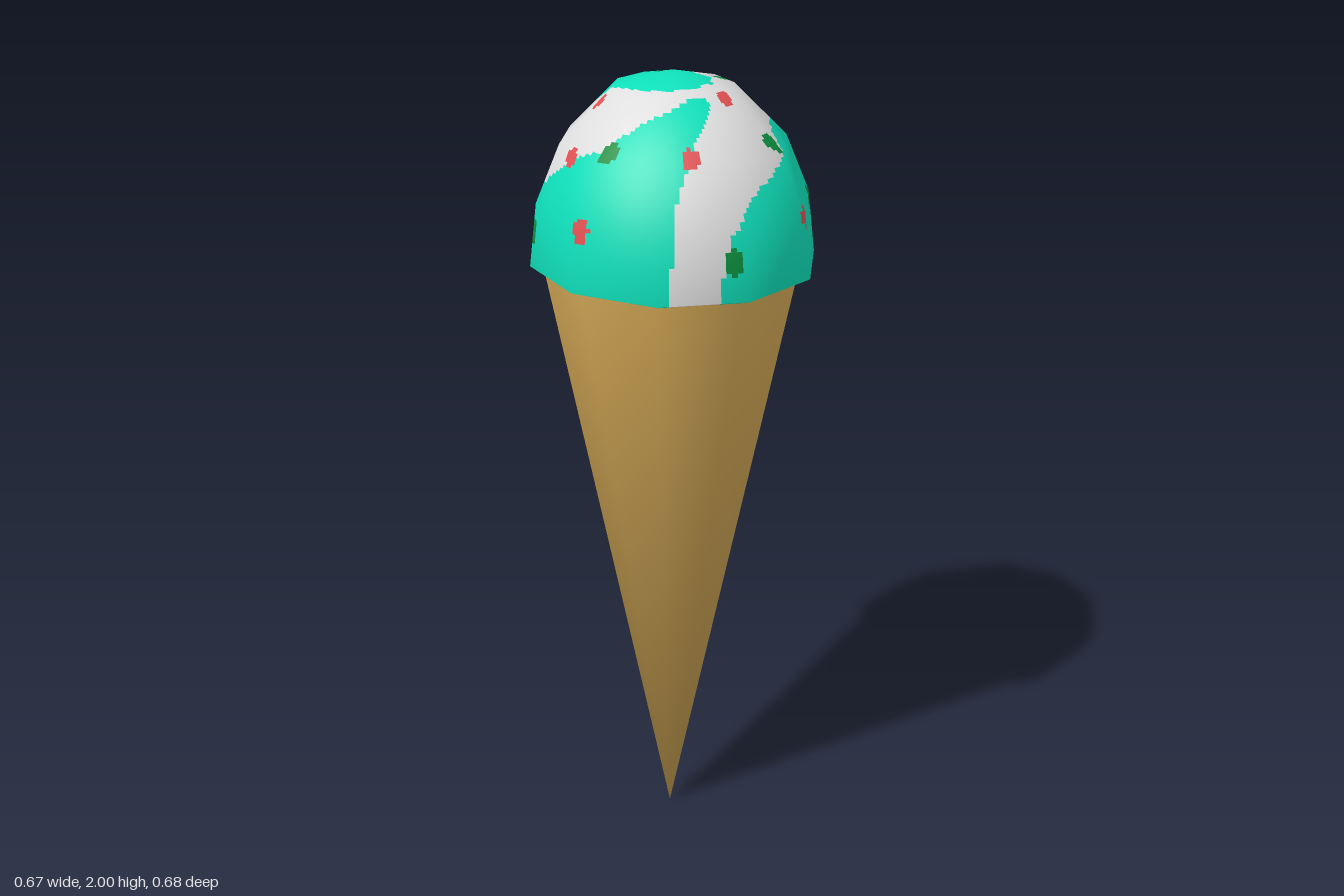
import * as THREE from 'three';
import { mergeVertices } from 'three/addons/utils/BufferGeometryUtils.js';

const SIDES = 10, FINE = 16;

const material = (name, color) => {
  const m = new THREE.MeshStandardMaterial({ color });
  m.name = name;
  return m;
};

// Unfolds the scoop: angle in degrees from the front, v = 0 at the top to 4 at the rim
const unfold = ([deg, v]) => {
  const a = THREE.MathUtils.degToRad(deg);
  return [v * Math.sin(a), v * Math.cos(a)];
};

// Outline of the white swirl as [angle, v]
const swirl = [
  [234, 1.24], [212, 1.5], [184, 1.64], [172, 1.56], [149, 1.71], [122, 1.78],
  [111, 2], [97, 2.3], [76, 2.6], [66, 3.05], [60, 4], [60, 4.3], [41, 4.3],
  [41, 4], [43, 2.6], [51, 1.85], [66, 1.32], [74, 1.14], [71, 0.97], [39, 1.18],
  [16, 1.46], [2, 1.86], [-18, 2.1], [-37, 2.7], [-48, 3.4], [-62, 4], [-62, 4.4],
  [-85, 4.4], [-108, 4.4], [-131, 4.4], [229, 4], [241, 3.5], [250, 3], [264, 2.3],
  [272, 1.8], [285, 1.6], [304, 1.17], [326, 1], [5, 0.84], [39, 0.74], [74, 0.69],
  [112, 0.68], [146, 0.6], [188, 0.39], [239, 0.81],
].map(unfold);

// Sprinkle centres as [angle, v]
const sprinkles = {
  red: [[204, 3.4], [222, 2], [161, 1.67], [238, 1.13], [274, 2.55], [95, 1.06],
    [-38, 1.26], [51, 1.87], [-20, 2.1], [2, 3.05], [110, 3.05]],
  green: [[187, 1.41], [160, 0.9], [257, 0.36], [282, 1.29], [107, 1.83], [140, 3.05],
    [244, 3.2], [6.5, 1.85], [66, 3.4], [-37, 3.45], [-59.5, 3.65]],
};

function insideSwirl([x, y]) {
  let inside = false;
  swirl.forEach(([x1, y1], i) => {
    const [x2, y2] = swirl[(i + 1) % swirl.length];
    if ((y1 > y) !== (y2 > y) && x < x1 + ((y - y1) * (x2 - x1)) / (y2 - y1)) inside = !inside;
  });
  return inside;
}

function flavourAt(deg, v) {
  const p = unfold([deg, Math.min(v, 3.99)]);
  for (const name of ['red', 'green']) {
    for (const s of sprinkles[name]) {
      const [x, y] = unfold(s);
      if (Math.hypot(p[0] - x, p[1] - y) < 0.1 + 0.032 * s[1]) return name;
    }
  }
  return insideSwirl(p) ? 'white' : 'teal';
}

// Ten-sided dome, finely divided so that each cell takes its own flavour
function buildScoop(materials) {
  const profile = [[0.31, 1.535], [0.34, 1.547], [0.322, 1.7], [0.265, 1.838], [0.14, 1.965], [0, 2]]
    .map(([r, y]) => new THREE.Vector2(r, y));
  const rows = profile.length - 1;
  const dome = new THREE.LatheGeometry(profile, SIDES);
  const { position, normal } = dome.attributes;
  for (let i = 0; i <= SIDES; i++) normal.setXYZ(i * (rows + 1) + rows, 0, 1, 0);
  dome.scale(1.035, 1, 1);

  // Blend of the four dome corners around (u, v)
  const sample = (attribute, u, v) => {
    const i = Math.min(Math.floor(u), SIDES - 1), j = Math.min(Math.floor(v), rows - 1);
    const at = (a, b) => new THREE.Vector3().fromBufferAttribute(attribute, a * (rows + 1) + rows - b);
    return at(i, j).lerp(at(i + 1, j), u - i).lerp(at(i, j + 1).lerp(at(i + 1, j + 1), u - i), v - j);
  };

  const parts = {};
  for (const name in materials) parts[name] = { points: [], normals: [] };
  for (let i = 0; i < SIDES * FINE; i++) {
    for (let j = 0; j < rows * FINE; j++) {
      const u0 = i / FINE, u1 = (i + 1) / FINE, v0 = j / FINE, v1 = (j + 1) / FINE;
      const part = parts[flavourAt(((u0 + u1) / 2) * (360 / SIDES), (v0 + v1) / 2)];
      const corners = [[u0, v1], [u1, v1], [u1, v0]];
      if (j > 0) corners.push([u0, v1], [u1, v0], [u0, v0]);
      for (const [u, v] of corners) {
        part.points.push(...sample(position, u, v).toArray());
        part.normals.push(...sample(normal, u, v).normalize().toArray());
      }
    }
  }

  const scoop = new THREE.Group();
  scoop.name = 'scoop';
  const names = { teal: 'scoopBase', white: 'creamSwirl', red: 'redSprinkles', green: 'greenSprinkles' };
  for (const name in parts) {
    const geometry = new THREE.BufferGeometry();
    geometry.setAttribute('position', new THREE.Float32BufferAttribute(parts[name].points, 3));
    geometry.setAttribute('normal', new THREE.Float32BufferAttribute(parts[name].normals, 3));
    const mesh = new THREE.Mesh(geometry, materials[name]);
    mesh.name = names[name];
    scoop.add(mesh);
  }
  return scoop;
}

// Ten-sided cone with smooth normals that share one tip point
function buildCone(mat) {
  const height = 1.54;
  let geometry = new THREE.CylinderGeometry(0.31, 0, height, SIDES, 1, true);
  geometry.deleteAttribute('uv');
  geometry.deleteAttribute('normal');
  geometry.translate(0, height / 2, 0);
  geometry.scale(1.02, 1, 1);
  const p = geometry.attributes.position;
  for (let i = 0; i < p.count; i++) if (p.getY(i) < 0.01) p.setXYZ(i, 0, 0, 0.015);
  geometry = mergeVertices(geometry, 1e-4);
  geometry.computeVertexNormals();
  const mesh = new THREE.Mesh(geometry, mat);
  mesh.name = 'cone';
  return mesh;
}

export function createModel() {
  const model = new THREE.Group();
  model.name = 'iceCreamCone';
  model.add(
    buildCone(material('wafer', 0xd8ac58)),
    buildScoop({
      teal: material('mint', 0x0fdfba),
      white: material('cream', 0xdedede),
      red: material('red sprinkle', 0xe05052),
      green: material('green sprinkle', 0x0c9040),
    }),
  );
  return model;
}
